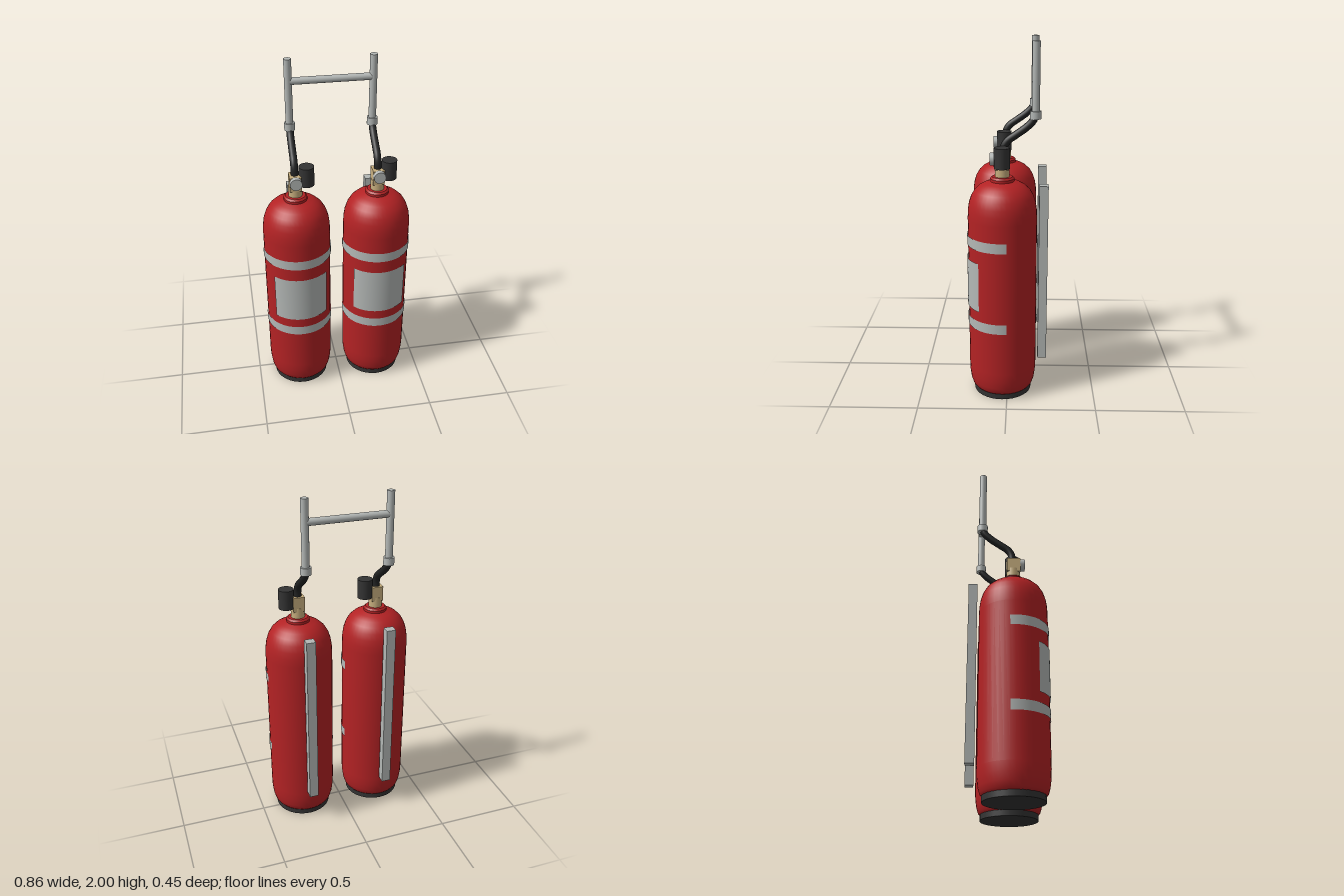
import * as THREE from 'three';

const mat = (name, color, side = THREE.FrontSide) => {
  const m = new THREE.MeshStandardMaterial({ color, side });
  m.name = name;
  return m;
};

export function createModel() {
  const red = mat('red paint', 0xb32224);
  const grey = mat('grey metal', 0xb4b8b6);
  const tape = mat('grey tape', 0xb4b8b6, THREE.DoubleSide);
  const dark = mat('dark plastic', 0x343434);
  const rubber = mat('black rubber', 0x232424);
  const brass = mat('brass', 0xc9b07f);

  const root = new THREE.Group();
  root.name = 'twinCylinders';

  const add = (parent, name, geometry, material, x = 0, y = 0, z = 0) => {
    const mesh = new THREE.Mesh(geometry, material);
    mesh.name = name;
    mesh.position.set(x, y, z);
    parent.add(mesh);
    return mesh;
  };
  // upright cylinder between two heights
  const post = (parent, name, r, y0, y1, material, x = 0, z = 0, sides = 32) =>
    add(parent, name, new THREE.CylinderGeometry(r, r, y1 - y0, sides), material, x, (y0 + y1) / 2, z);
  // curved sheet wrapped round the front of the tank
  const wrap = (parent, name, r, y0, y1, half) =>
    add(parent, name, new THREE.CylinderGeometry(r, r, y1 - y0, 32, 1, true, -half, 2 * half),
      tape, 0, (y0 + y1) / 2, 0);

  const tankX = 0.233, tankZ = 0.028, pipeZ = -0.151 - tankZ;

  // tank outline from foot to neck
  const outline = [
    [0, 0.03], [0.163, 0.03], [0.175, 0.045], [0.184, 0.075], [0.19, 0.12], [0.192, 0.17],
    [0.192, 1.05], [0.19, 1.095], [0.184, 1.135], [0.172, 1.172], [0.154, 1.203],
    [0.128, 1.228], [0.098, 1.245], [0.06, 1.257],
  ].map(([x, y]) => new THREE.Vector2(x, y));

  // hose: up from the valve, then back to the pipe
  const v = (y, z) => new THREE.Vector3(0, y, z);
  const hosePath = new THREE.CatmullRomCurve3([
    v(1.38, -0.004), v(1.44, -0.008), v(1.475, -0.028), v(1.51, -0.075),
    v(1.55, -0.13), v(1.585, -0.164), v(1.62, pipeZ),
  ]);

  for (const side of [-1, 1]) {
    const unit = new THREE.Group();
    unit.name = side > 0 ? 'leftUnit' : 'rightUnit';
    unit.position.set(side * tankX, 0, tankZ);
    root.add(unit);

    // tank
    post(unit, 'foot', 0.165, 0, 0.036, dark);
    add(unit, 'tank', new THREE.LatheGeometry(outline, 40), red);
    post(unit, 'collar', 0.066, 1.245, 1.27, red);
    add(unit, 'collarTop', new THREE.CylinderGeometry(0.056, 0.066, 0.01, 32), red, 0, 1.275, 0);

    // bands and label
    wrap(unit, 'lowerBand', 0.196, 0.425, 0.482, 1.714);
    wrap(unit, 'upperBand', 0.196, 0.9, 0.957, 1.714);
    wrap(unit, 'label', 0.197, 0.54, 0.825, 0.87);

    // valve
    post(unit, 'neck', 0.039, 1.27, 1.34, brass, 0, 0, 24);
    add(unit, 'valveBlock', new THREE.BoxGeometry(0.066, 0.085, 0.076), brass, 0, 1.3625, 0.002);
    const gauge = add(unit, 'gauge', new THREE.CylinderGeometry(0.034, 0.034, 0.03, 24), grey, 0, 1.376, 0.052);
    gauge.rotation.x = Math.PI / 2;
    post(unit, 'knob', 0.043, 1.34, 1.452, dark, 0.065, 0);

    // hose and discharge pipe
    add(unit, 'hose', new THREE.TubeGeometry(hosePath, 32, 0.021, 16), rubber);
    post(unit, 'hoseFitting', 0.03, 1.595, 1.637, grey, 0, pipeZ, 24);
    post(unit, 'pipe', 0.021, 1.6, 2, grey, 0, pipeZ, 24);

    // mounting rail
    add(unit, 'rail', new THREE.BoxGeometry(0.053, 1.035, 0.05), grey, 0, 0.7125, -0.2 - tankZ);
  }

  // pipe joining both units
  const bar = add(root, 'crossPipe', new THREE.CylinderGeometry(0.02, 0.02, tankX * 2, 24), grey, 0, 1.875, -0.151);
  bar.rotation.z = Math.PI / 2;

  return root;
}
